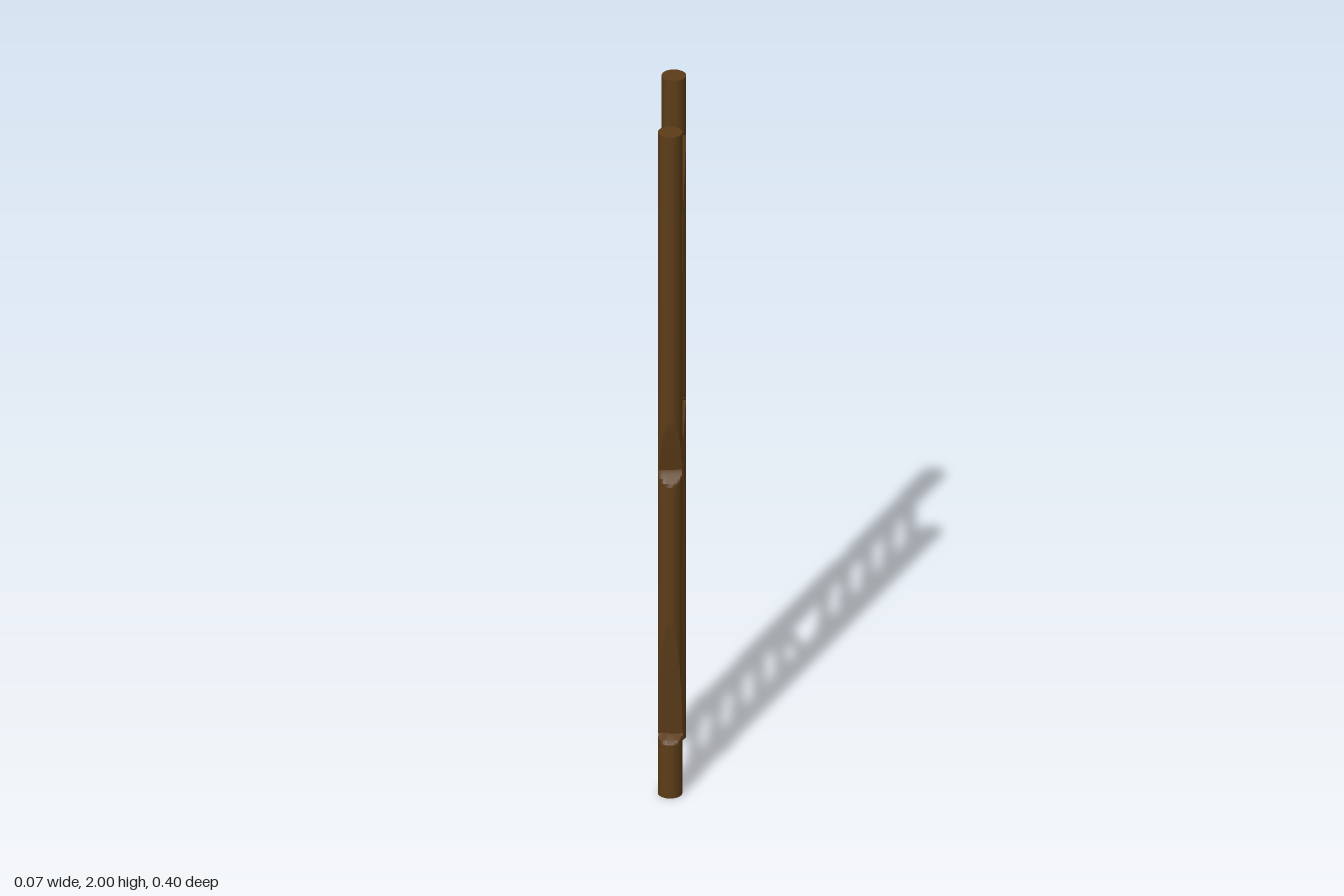
import * as THREE from 'three';
import { toCreasedNormals } from 'three/addons/utils/BufferGeometryUtils.js';

const R = 0.033, POLE_Z = 0.166;

// A round pole with flat axe cuts: [shallow y, deepest y, closing y, direction x, direction z, depth]
function hewnPole(cuts) {
  const geo = new THREE.CylinderGeometry(R, R, 2, 32, 200).translate(0, 1, 0);
  const pos = geo.attributes.position;
  for (let i = 0; i < pos.count; i++) {
    let x = pos.getX(i), z = pos.getZ(i);
    const y = pos.getY(i);
    for (const [start, deep, end, dx, dz, depth] of cuts) {
      const t = (y - start) / (deep - start);
      const u = (y - end) / (deep - end);
      const k = Math.min(t, u);
      if (k <= 0) continue;
      const len = Math.hypot(dx, dz), nx = dx / len, nz = dz / len;
      const over = x * nx + z * nz - (R - depth * k);
      if (over > 0) {
        x -= nx * over;
        z -= nz * over;
      }
    }
    pos.setXYZ(i, x, y, z);
  }
  return toCreasedNormals(geo, 0.4);
}

export function createModel() {
  const model = new THREE.Group();
  const darkWood = new THREE.MeshStandardMaterial({ color: 0x5c3c18 });
  const lightWood = new THREE.MeshStandardMaterial({ color: 0x855a2d, flatShading: true });

  // Upright poles
  const frontPole = new THREE.Mesh(hewnPole([
    [1.13, 0.975, 0.945, 0.1, 1, 0.029],
    [0.52, 0.18, 0.165, 0, 1, 0.034],
    [0.3, 0.67, 0.69, 1, -0.9, 0.015],
    [1.35, 1.74, 1.78, 1, -0.9, 0.015],
  ]), darkWood);
  frontPole.name = 'frontPole';
  frontPole.position.z = POLE_Z;

  const backPole = new THREE.Mesh(hewnPole([
    [0.85, 1.02, 1.04, 0, 1, 0.028],
    [1.5, 1.82, 1.835, 0, 1, 0.03],
    [1.65, 1.32, 1.3, -1, -1, 0.017],
    [0.25, 0.56, 0.59, -1, -1, 0.014],
  ]), darkWood);
  backPole.name = 'backPole';
  backPole.position.z = -POLE_Z;
  model.add(frontPole, backPole);

  // Rungs: height at the front pole and at the back pole
  const rungs = [
    [0.17, 0.17], [0.313, 0.363], [0.505, 0.505], [0.67, 0.67], [0.835, 0.835],
    [1.03, 0.853], [1.17, 1.17], [1.335, 1.335], [1.505, 1.505], [1.655, 1.685], [1.845, 1.825],
  ];
  const reach = 0.16;
  rungs.forEach(([yFront, yBack], i) => {
    const length = Math.hypot(2 * reach, yFront - yBack);
    const geo = new THREE.CylinderGeometry(0.0165, 0.0165, length, 6)
      .rotateY(Math.PI / 2)
      .rotateX(Math.PI / 2);
    const rung = new THREE.Mesh(geo, lightWood);
    rung.name = `rung${i + 1}`;
    rung.position.y = (yFront + yBack) / 2;
    rung.rotation.x = -Math.atan2(yFront - yBack, 2 * reach);
    model.add(rung);
  });

  return model;
}
